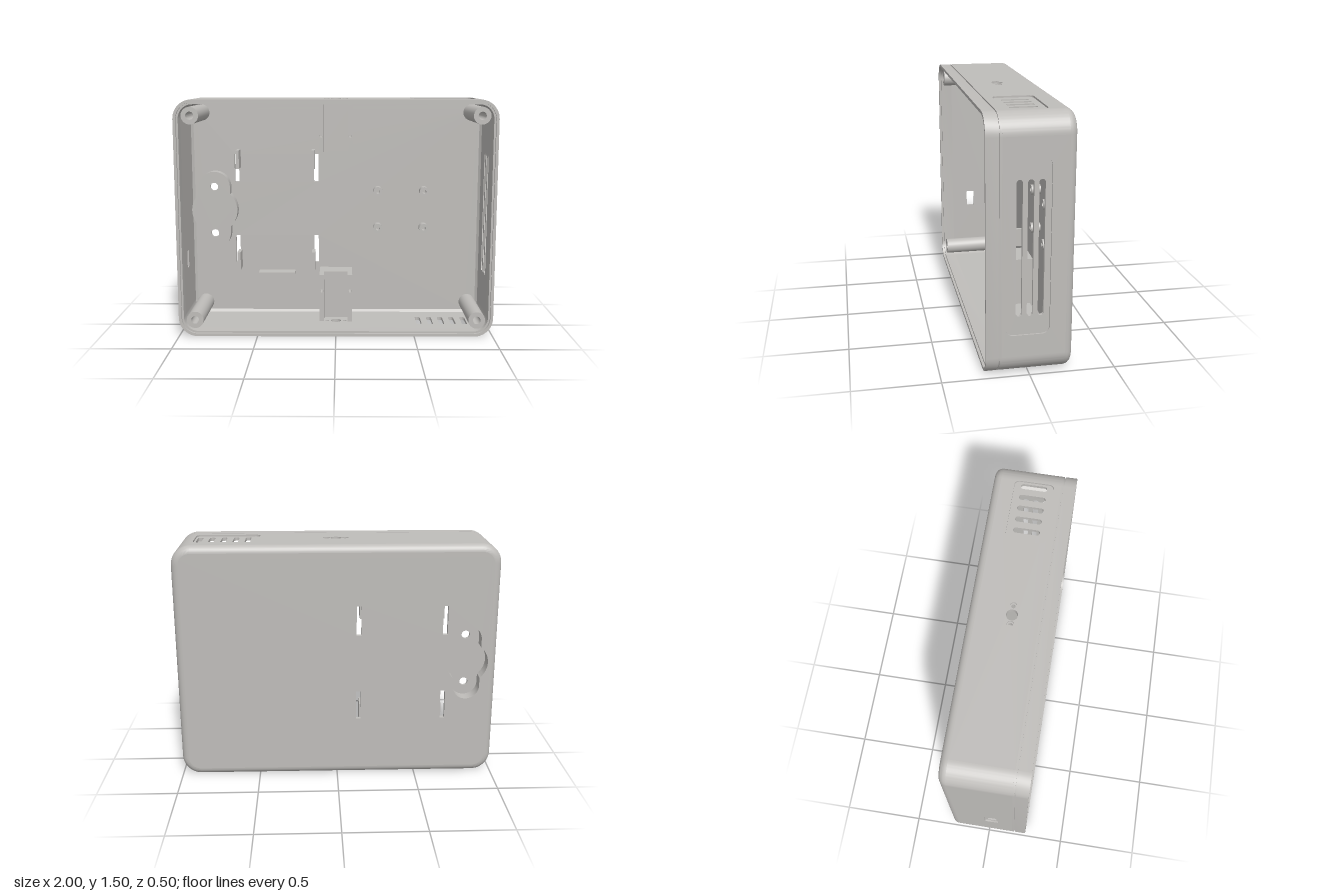
import * as THREE from 'three';
import { toCreasedNormals } from 'three/addons/utils/BufferGeometryUtils.js';

const W = 1, CY = 0.75, R = 0.12, T = 0.03, SKIN = 0.01; // half width, mid height, corner radius, wall, recess depth
const FLOOR = -0.22, BACK = -0.25, FILLET = 0.045, WALL0 = BACK + FILLET, WALL1 = 0.16;

const circle = (x, y, r) => new THREE.Shape().absarc(x, y, r, 0, Math.PI * 2, false);

function roundRect(x0, x1, y0, y1, r = 0) {
  const s = new THREE.Shape();
  if (!r) return s.moveTo(x0, y0).lineTo(x1, y0).lineTo(x1, y1).lineTo(x0, y1).closePath();
  s.absarc(x1 - r, y0 + r, r, -Math.PI / 2, 0, false);
  s.absarc(x1 - r, y1 - r, r, 0, Math.PI / 2, false);
  s.absarc(x0 + r, y1 - r, r, Math.PI / 2, Math.PI, false);
  s.absarc(x0 + r, y0 + r, r, Math.PI, Math.PI * 1.5, false);
  return s.closePath();
}

// Circle merged with a vertical capsule, used for the hanging pocket
function lobes(cx, cy, r, w, h) {
  const a = Math.acos(w / r), s = new THREE.Shape();
  s.absarc(cx, cy, r, -a, a, false);
  s.absarc(cx, cy + h - w, w, 0, Math.PI, false);
  s.absarc(cx, cy, r, Math.PI - a, Math.PI + a, false);
  s.absarc(cx, cy - h + w, w, Math.PI, Math.PI * 2, false);
  return s.closePath();
}

// Outline of the case, inset towards the middle
function outline(inset, n = 12) {
  const pts = [];
  [[1, -1], [1, 1], [-1, 1], [-1, -1]].forEach(([sx, sy], k) => {
    for (let i = 0; i <= n; i++) {
      const a = (k - 1 + i / n) * Math.PI / 2;
      pts.push(new THREE.Vector2(sx * (W - R) + (R - inset) * Math.cos(a),
        CY + sy * (CY - R) + (R - inset) * Math.sin(a)));
    }
  });
  return pts;
}

// Sweep a closed [inset, z] profile around the case
function sweep(profile) {
  const pos = [], idx = [], m = profile.length, n = outline(0).length;
  for (const [inset, z] of profile) for (const p of outline(inset)) pos.push(p.x, p.y, z);
  for (let j = 0; j < m; j++) for (let i = 0; i < n; i++) {
    const i2 = (i + 1) % n, j2 = (j + 1) % m;
    const a = j * n + i, b = j * n + i2, c = j2 * n + i2, d = j2 * n + i;
    idx.push(a, b, c, a, c, d);
  }
  const g = new THREE.BufferGeometry();
  g.setAttribute('position', new THREE.Float32BufferAttribute(pos, 3));
  g.setIndex(idx);
  return toCreasedNormals(g, 0.5);
}

export function createModel() {
  const model = new THREE.Group();
  model.name = 'enclosure';
  const grey = new THREE.MeshStandardMaterial({ color: 0xbfbdba });
  grey.name = 'warmGrey';

  const add = (name, geometry, parent = model) => {
    const mesh = new THREE.Mesh(geometry, grey);
    mesh.name = name;
    parent.add(mesh);
    return mesh;
  };
  const extrude = (name, shape, holes, z0, z1, parent) => {
    shape.holes.push(...holes);
    const g = new THREE.ExtrudeGeometry(shape, { depth: z1 - z0, bevelEnabled: false, curveSegments: 12 });
    g.translate(0, 0, z0);
    return add(name, toCreasedNormals(g, 0.5), parent);
  };
  const box = (name, x0, x1, y0, y1, z0, z1) => {
    const g = new THREE.BoxGeometry(x1 - x0, y1 - y0, z1 - z0);
    add(name, g.translate((x0 + x1) / 2, (y0 + y1) / 2, (z0 + z1) / 2));
  };

  // Front collar with seam groove and stepped lip
  add('frontRim', sweep([[0, WALL1], [0, 0.173], [0.008, 0.173], [0.008, 0.18], [0, 0.18], [0, 0.25],
    [0.018, 0.25], [0.018, 0.235], [T, 0.235], [T, WALL1]]));

  // Rounded back edge
  const bend = [];
  for (let i = 0; i <= 8; i++) {
    const a = i / 8 * Math.PI / 2;
    bend.push([FILLET * (1 - Math.sin(a)), WALL0 - FILLET * Math.cos(a)]);
  }
  add('backEdge', sweep([...bend, [T, WALL0], [FILLET, FLOOR]]));

  // Rounded corner walls
  for (const sx of [-1, 1]) for (const sy of [-1, 1]) {
    const a = Math.atan2(sy, sx) , cx = sx * (W - R), cy = CY + sy * (CY - R);
    const mid = Math.round(a / (Math.PI / 4)) * Math.PI / 4, q = Math.PI / 4;
    const s = new THREE.Shape();
    s.absarc(cx, cy, R, mid - q, mid + q, false);
    s.absarc(cx, cy, R - T, mid + q, mid - q, true);
    extrude('cornerWall', s.closePath(), [], WALL0, WALL1);
  }

  // Flat walls: core with through holes, skin with wider recesses
  const wall = (name, u, v, n, origin, u0, u1, flip, core, skin) => {
    const g = new THREE.Group();
    g.name = name;
    const V = (a) => new THREE.Vector3(...a);
    g.applyMatrix4(new THREE.Matrix4().makeBasis(V(u), V(v), V(n)).setPosition(V(origin)));
    const rect = () => flip ? roundRect(u0, u1, -WALL1, -WALL0) : roundRect(u0, u1, WALL0, WALL1);
    extrude(name + 'Core', rect(), core, -T, -SKIN, g);
    extrude(name + 'Skin', rect(), skin, -SKIN, 0, g);
    model.add(g);
  };
  const endHoles = () => {
    const core = [circle(0, 0, 0.034), circle(-0.058, 0, 0.012), circle(0.058, 0, 0.012)];
    for (let i = 0; i < 5; i++) {
      const x = 0.547 + i * 0.075;
      core.push(roundRect(x - 0.017, x + 0.017, -0.08, 0.08, 0.0165));
    }
    const skin = [circle(0, 0, 0.034), circle(-0.058, 0, 0.021), circle(0.058, 0, 0.021),
      roundRect(0.475, 0.877, -0.12, 0.12, 0.03)];
    return [core, skin];
  };
  const x0 = -W + R, x1 = W - R, y0 = R, y1 = 2 * CY - R;
  wall('topWall', [1, 0, 0], [0, 0, -1], [0, 1, 0], [0, 2 * CY, 0], x0, x1, true, ...endHoles());
  wall('bottomWall', [1, 0, 0], [0, 0, 1], [0, -1, 0], [0, 0, 0], x0, x1, false, ...endHoles());
  wall('ventWall', [0, 1, 0], [0, 0, 1], [1, 0, 0], [W, 0, 0], y0, y1, false,
    [0.064, 0.002, -0.06].map((z) => roundRect(0.36, 1.145, z - 0.017, z + 0.017, 0.0165)),
    [roundRect(0.25, 1.26, -0.112, 0.14, 0.045)]);
  wall('portWall', [0, 1, 0], [0, 0, -1], [-1, 0, 0], [-W, 0, 0], y0, y1, true,
    [roundRect(0.4, 0.51, -0.055, 0)], [roundRect(0.378, 0.532, -0.075, 0.02, 0.012)]);

  // Back panel with strap slots and hanging pocket opening
  const px = -0.815;
  const slots = [];
  for (const x of [-0.67, -0.135])
    for (const y of [0.38, 0.935]) slots.push(roundRect(x - 0.015, x + 0.015, y, y + 0.187));
  const pocket = () => lobes(px, CY, 0.132, 0.085, 0.24);
  extrude('backPanel', new THREE.Shape(outline(FILLET)), [...slots, pocket()], BACK, FLOOR);

  // Hanging pocket boss
  const boss = () => lobes(px, CY, 0.152, 0.105, 0.26);
  extrude('pocketWall', boss(), [pocket()], FLOOR, -0.165);
  extrude('pocketCap', boss(), [circle(px, 0.91, 0.026), circle(px, 0.595, 0.026)], -0.165, -0.145);

  // Corner screw posts
  for (const x of [-0.9, 0.9]) for (const y of [0.1, 1.4])
    extrude('screwPost', circle(x, y, 0.054), [circle(x, y, 0.025)], FLOOR, 0.225);

  // Board standoffs
  for (const x of [0.28, 0.59]) for (const y of [0.625, 0.875])
    extrude('standoff', circle(x, y, 0.031), [circle(x, y, 0.014)], FLOOR, -0.16);

  // Retaining tabs and ledge
  for (const x of [-0.654, -0.153]) for (const y of [0.347, 1.033])
    box('retainingTab', x - 0.011, x + 0.011, y, y + 0.122, FLOOR, -0.11);
  box('ledge', -0.525, -0.28, 0.309, 0.326, FLOOR, -0.13);

  // Channel brackets at the top and bottom openings
  for (const [b0, b1, hy] of [[T, 0.345, 0.238], [1.155, 2 * CY - T, 1.262]]) {
    box('bracketBase', -0.11, 0.107, b0, b1, FLOOR, -0.08);
    for (const [a0, a1] of [[-0.11, -0.08], [0.077, 0.107]])
      extrude('bracketArm', roundRect(a0, a1, b0, b1), [circle((a0 + a1) / 2, hy, 0.011)], -0.08, 0.02);
  }
  return model;
}
